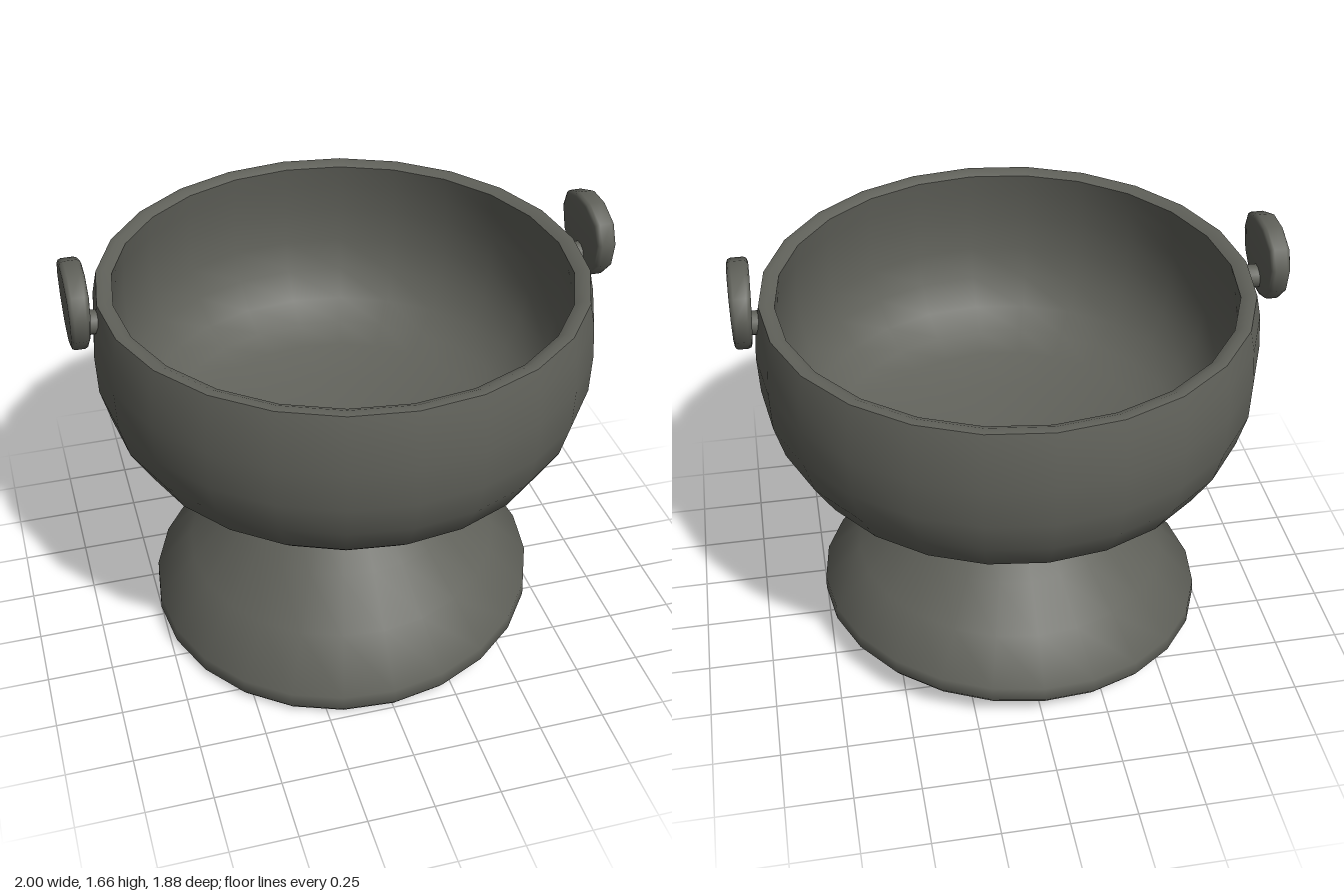
import * as THREE from 'three';
import { mergeVertices, toCreasedNormals } from 'three/addons/utils/BufferGeometryUtils.js';

const SIDES = 24;

// Weld the seam, then smooth everything except sharp edges.
function smooth(geometry, crease) {
  geometry.deleteAttribute('uv');
  geometry.deleteAttribute('normal');
  return toCreasedNormals(mergeVertices(geometry, 1e-4), crease);
}

// Move every vertex by a rule.
function reshape(geometry, move) {
  const pos = geometry.attributes.position;
  const v = new THREE.Vector3();
  for (let i = 0; i < pos.count; i++) {
    move(v.fromBufferAttribute(pos, i));
    pos.setXYZ(i, v.x, v.y, v.z);
  }
  return geometry;
}

// Turned shape from [radius, height] pairs
function turned(profile, move) {
  const points = profile.map(([r, y]) => new THREE.Vector2(r, y));
  return smooth(reshape(new THREE.LatheGeometry(points, SIDES), move), 0.9);
}

export function createModel() {
  const model = new THREE.Group();
  model.name = 'footedBowl';
  const darkClay = new THREE.MeshStandardMaterial({ color: 0x60615a });
  darkClay.name = 'darkClay';

  const add = (parent, name, geometry) => {
    const mesh = new THREE.Mesh(geometry, darkClay);
    mesh.name = name;
    parent.add(mesh);
  };

  // Bowl: thin wall whose inside follows the bulge of the outside below the rim
  add(model, 'bowl', turned([
    [0, 0.645], [0.2, 0.647], [0.42, 0.69], [0.61, 0.738], [0.72, 0.79], [0.81, 0.87],
    [0.885, 1.0], [0.92, 1.13], [0.925, 1.28], [0.915, 1.41], [0.897, 1.495],
    [0.87, 1.5], [0.84, 1.485], [0.853, 1.4], [0.865, 1.28], [0.86, 1.14],
    [0.83, 1.02], [0.765, 0.91], [0.68, 0.84], [0.58, 0.795], [0.4, 0.75], [0.2, 0.712], [0, 0.705],
  ], (v) => {
    v.x += 0.008;
    v.z *= 1.018;
  }));

  // Foot: thin hollow flared cone whose lower rim tilts up to the back left
  add(model, 'foot', turned([
    [0, 0.59], [0.17, 0.585], [0.3, 0.51], [0.42, 0.405], [0.56, 0.265], [0.68, 0.13], [0.705, 0.065],
    [0.738, 0.06], [0.757, 0.085], [0.755, 0.14],
    [0.61, 0.295], [0.465, 0.45], [0.345, 0.558], [0.2, 0.645], [0, 0.65],
  ], (v) => {
    const weight = THREE.MathUtils.clamp((0.6 - v.y) / 0.45, 0, 1);
    v.y += weight * (0.06 * v.x - 0.055 * v.z);
    v.z *= 1.01;
  }));

  // Handle knob outline, upright in the z/y plane
  const half = [[0.05, 1.66], [0.145, 1.62], [0.178, 1.55], [0.16, 1.455], [0.095, 1.385], [0.025, 1.36]];
  const outline = [...half, ...half.slice().reverse().map(([z, y]) => [-z, y])];
  const shape = new THREE.Shape(outline.map(([z, y]) => new THREE.Vector2(z * 0.91, 1.51 + (y - 1.51) * 0.9)));

  for (const side of [-1, 1]) {
    const handle = new THREE.Group();
    handle.name = side > 0 ? 'leftHandle' : 'rightHandle';
    model.add(handle);

    // Rounded disc, thicker towards the top on its inner face
    const disc = new THREE.ExtrudeGeometry(shape, {
      depth: 0.04, bevelEnabled: true, bevelThickness: 0.015, bevelSize: 0.015, bevelSegments: 2,
    });
    disc.rotateY(side * Math.PI / 2);
    reshape(disc, (v) => {
      const distance = 0.055 - Math.abs(v.x) * Math.sign(v.x * side);
      v.x = side * (1 - distance * (0.86 + (v.y - 1.36) * 0.9));
    });
    add(handle, 'knob', smooth(disc, 1));

    // Short peg joining knob to bowl
    const peg = new THREE.CylinderGeometry(0.045, 0.045, 0.08, 10);
    peg.rotateZ(Math.PI / 2);
    peg.translate(side * 0.92, 1.43, 0);
    add(handle, 'peg', smooth(peg, 0.9));
  }
  return model;
}
